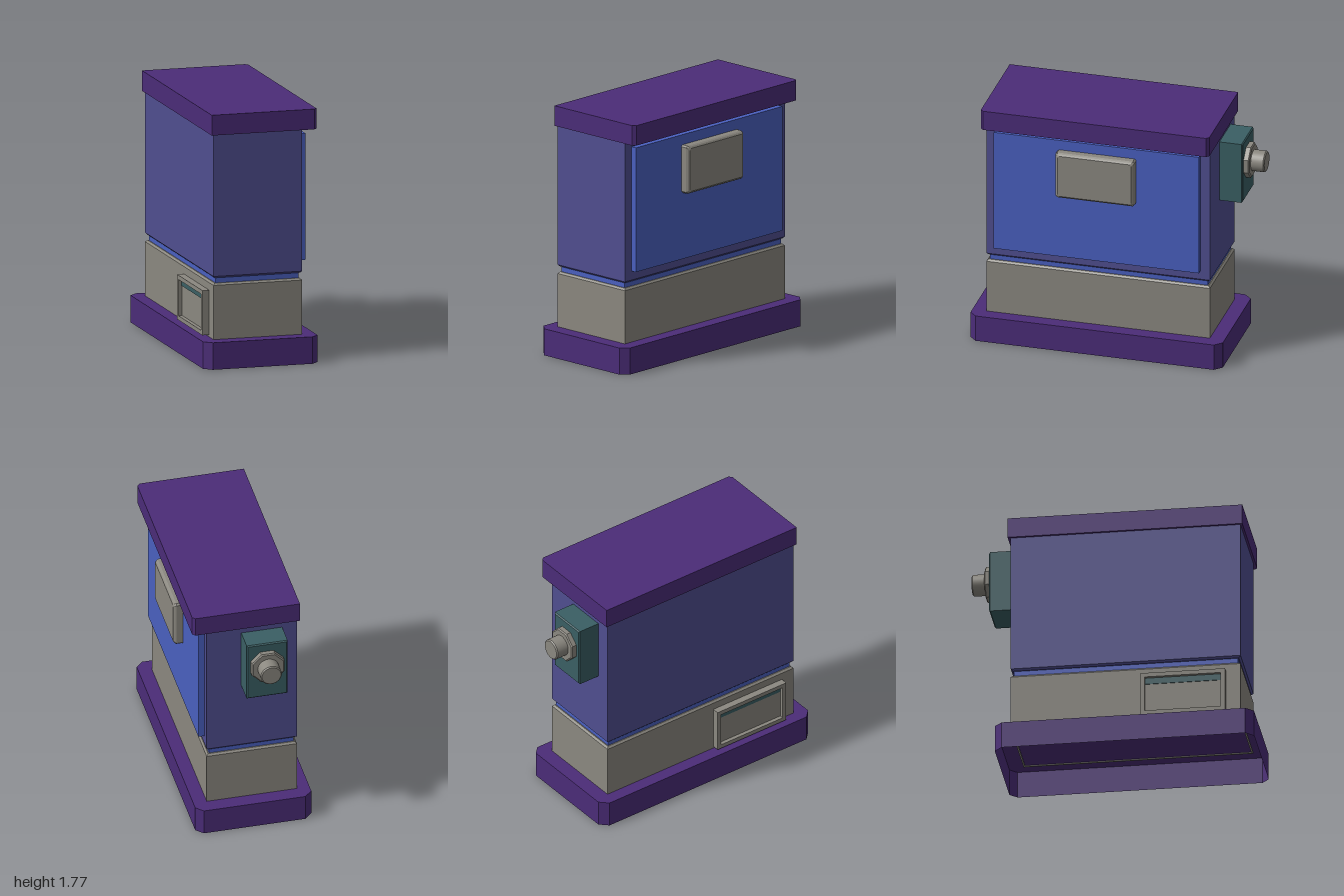
import * as THREE from 'three';

const mat = (name, color, double = false) => {
  const m = new THREE.MeshStandardMaterial({ color });
  m.name = name;
  if (double) m.side = THREE.DoubleSide;
  return m;
};

// Outline of a rectangle whose left and right corners may be cut off
function outline(x0, x1, z0, z1, cutL, cutR) {
  const pts = [];
  const corner = (x, z, sx, sz, c, alongXFirst) => {
    if (!c) return pts.push([x, z]);
    const a = [x - sx * c, z], b = [x, z - sz * c];
    pts.push(...(alongXFirst ? [a, b] : [b, a]));
  };
  corner(x1, z1, 1, 1, cutR, true);
  corner(x1, z0, 1, -1, cutR, false);
  corner(x0, z0, -1, -1, cutL, true);
  corner(x0, z1, -1, 1, cutL, false);
  return pts;
}

// Flat-faced block along y; layers are [height, inset] from bottom to top
function block([x0, x1, z0, z1], layers, { cutL = 0, cutR = 0, openBottom = false } = {}) {
  const rings = layers.map(([y, i]) =>
    outline(x0 + i, x1 - i, z0 + i, z1 - i, cutL, cutR).map(([x, z]) => [x, y, z]));
  const pos = [];
  const tri = (a, b, c) => pos.push(...a, ...b, ...c);
  const n = rings[0].length;
  for (let k = 0; k + 1 < rings.length; k++) {
    const lo = rings[k], hi = rings[k + 1];
    for (let i = 0; i < n; i++) {
      const j = (i + 1) % n;
      tri(lo[i], lo[j], hi[j]);
      tri(lo[i], hi[j], hi[i]);
    }
  }
  const top = rings[rings.length - 1], bottom = rings[0];
  for (let i = 1; i + 1 < n; i++) {
    tri(top[0], top[i], top[i + 1]);
    if (!openBottom) tri(bottom[0], bottom[i + 1], bottom[i]);
  }
  const g = new THREE.BufferGeometry();
  g.setAttribute('position', new THREE.Float32BufferAttribute(pos, 3));
  g.computeVertexNormals();
  return g;
}

export function createModel() {
  const model = new THREE.Group();
  model.name = 'instrumentCabinet';
  const purple = mat('purple', 0x4b2c78, true);
  const indigo = mat('indigo', 0x504e90);
  const blue = mat('blue', 0x4a60c0);
  const grey = mat('grey', 0x8b8880);
  const teal = mat('teal', 0x3a5f64);

  const add = (name, geometry, material, parent = model) => {
    const m = new THREE.Mesh(geometry, material);
    m.name = name;
    parent.add(m);
    return m;
  };
  const box = (name, x0, x1, y0, y1, z0, z1, material, parent) =>
    add(name, new THREE.BoxGeometry(x1 - x0, y1 - y0, z1 - z0)
      .translate((x0 + x1) / 2, (y0 + y1) / 2, (z0 + z1) / 2), material, parent);
  const group = (name) => {
    const g = new THREE.Group();
    g.name = name;
    model.add(g);
    return g;
  };

  // Hollow base skirt, open underneath
  add('baseSkirt', block([-0.42, 0.405, -0.805, 1], [[0, 0], [0.19, 0]],
    { cutL: 0.055, cutR: 0.05, openBottom: true }), purple);

  // Edge of the housing showing through the base ceiling
  const rim = group('housingRim');
  for (const x of [-0.33, 0.298]) box('rimSide', x, x + 0.012, 0.182, 0.189, -0.7, 0.9, grey, rim);
  for (const z of [-0.7, 0.888]) box('rimEnd', -0.318, 0.298, 0.182, 0.189, z, z + 0.012, grey, rim);

  // Stacked housing with a recessed band between the two halves
  const footprint = [-0.33, 0.31, -0.7, 0.9];
  add('lowerHousing', block(footprint, [[0.191, 0], [0.572, 0], [0.585, 0.013]]), grey);
  add('recessedBand', block(footprint, [[0.58, 0.02], [0.63, 0.02]]), blue);
  add('upperHousing', block(footprint, [[0.622, 0.013], [0.635, 0], [1.64, 0]]), indigo);

  // Overhanging lid, corners cut on its left side only
  add('lid', block([-0.347, 0.414, -0.72, 0.915], [[1.63, 0], [1.773, 0]], { cutR: 0.02 }), purple);

  // Side panel with a raised display
  box('sidePanel', 0.31, 0.353, 0.7, 1.59, -0.633, 0.835, blue);
  add('display', block([-1.518, -1.175, -0.185, 0.38],
    [[0.353, 0], [0.398, 0], [0.41, 0.007], [0.418, 0.018]], { cutL: 0.012, cutR: 0.012 })
    .rotateZ(-Math.PI / 2), grey);

  // Cable connector on the back
  const connector = group('rearConnector');
  add('connectorBox', block([-0.225, 0.065, 1.135, 1.582],
    [[0.7, 0], [0.857, 0], [0.865, 0.008]]).rotateX(-Math.PI / 2), teal, connector);
  const cx = -0.077, cy = 1.403;
  const turned = (name, r, r2, z0, z1, sides) => {
    const g = new THREE.CylinderGeometry(r2, r, z1 - z0, sides);
    if (sides === 8) g.rotateY(Math.PI / 8);
    g.rotateX(-Math.PI / 2).translate(cx, cy, -(z0 + z1) / 2);
    const flat = sides === 8 ? g.toNonIndexed() : g;
    if (sides === 8) flat.computeVertexNormals();
    add(name, flat, grey, connector);
  };
  turned('nut', 0.125, 0.125, 0.865, 0.898, 8);
  turned('nutBevel', 0.125, 0.115, 0.898, 0.905, 8);
  turned('plug', 0.075, 0.075, 0.905, 0.992, 32);
  turned('plugBevel', 0.075, 0.067, 0.992, 1, 32);

  // Framed recess low on the right side
  const frame = group('sideFrame');
  const [y0, y1, z0, z1, w] = [0.205, 0.52, 0.21, 0.8, 0.03];
  for (const y of [y0, y1 - w]) box('frameRail', -0.38, -0.33, y, y + w, z0, z1, grey, frame);
  for (const z of [z0, z1 - w]) box('framePost', -0.38, -0.33, y0 + w, y1 - w, z, z + w, grey, frame);
  box('framePlate', -0.352, -0.33, y0 + w, y1 - w, z0 + w, z1 - w, grey, frame);
  box('frameStrip', -0.357, -0.352, y1 - w - 0.045, y1 - w, z0 + w, z1 - w, teal, frame);

  return model;
}
